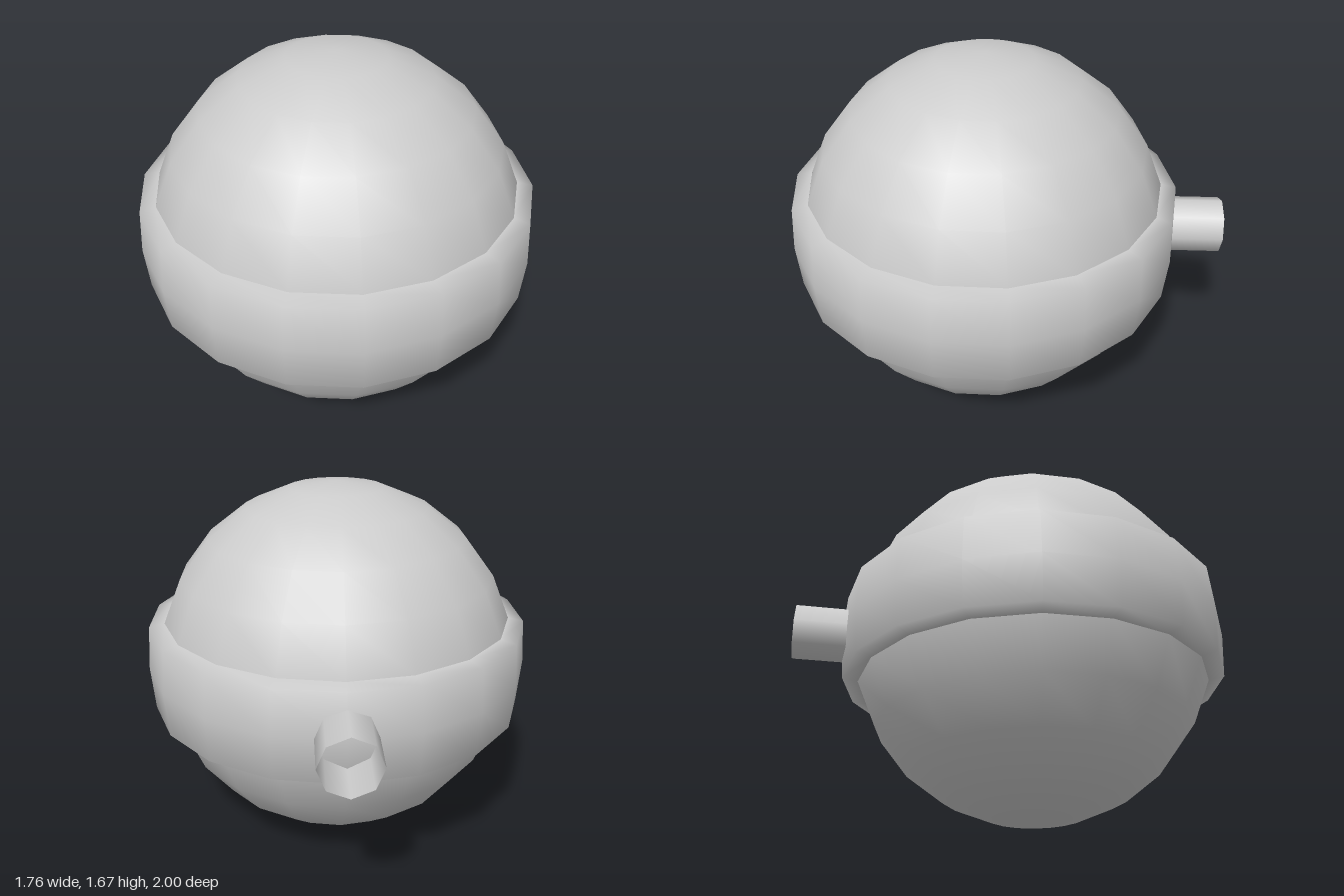
import * as THREE from 'three';

export function createModel() {
  const model = new THREE.Group();
  const material = new THREE.MeshStandardMaterial({ color: 0xcccccc });
  const openMaterial = new THREE.MeshStandardMaterial({ color: 0xcccccc, side: THREE.DoubleSide });

  function add(parent, name, geometry, mat) {
    const mesh = new THREE.Mesh(geometry, mat);
    mesh.name = name;
    parent.add(mesh);
    return mesh;
  }

  // Ball and its belt share a very slight backward tilt
  const body = new THREE.Group();
  body.name = 'body';
  body.position.set(0, 0.838, 0.105);
  body.rotation.x = -0.013;
  model.add(body);

  // Coarse ball, turned so that a column of vertices faces front
  const ball = new THREE.SphereGeometry(0.8375, 18, 12).rotateY(Math.PI / 2);
  add(body, 'ball', ball, material);

  // Raised belt with a slightly bulged outer face and narrow sloping rims
  const profile = [
    [0.809, -0.217], [0.88, -0.203], [0.895, 0], [0.88, 0.203], [0.809, 0.217],
  ].map(([r, y]) => new THREE.Vector2(r, y));
  add(body, 'belt', new THREE.LatheGeometry(profile, 18), openMaterial);

  // Open octagonal pipe out of the back of the belt
  const pipe = new THREE.CylinderGeometry(0.13, 0.13, 0.24, 8, 1, true).rotateX(Math.PI / 2);
  add(model, 'backPipe', pipe, openMaterial).position.set(0, 0.83, -0.88);

  return model;
}
